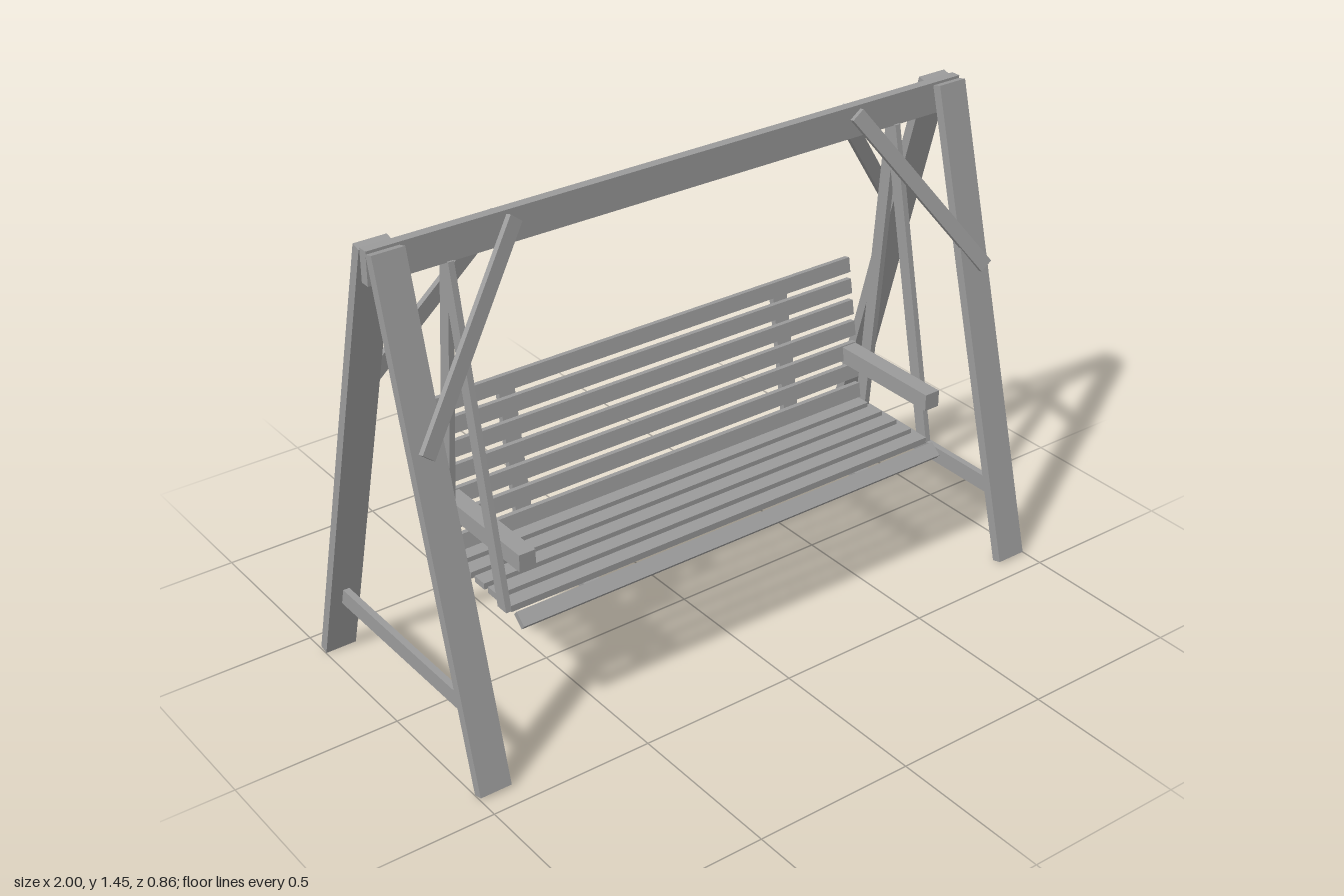
import * as THREE from 'three';

const wood = new THREE.MeshStandardMaterial({ color: 0x9a9a9a, flatShading: true });

function box(parent, name, size, pos, tiltX = 0) {
  const mesh = new THREE.Mesh(new THREE.BoxGeometry(...size), wood);
  mesh.name = name;
  mesh.position.set(...pos);
  mesh.rotation.x = tiltX;
  parent.add(mesh);
  return mesh;
}

// Square-cut board running from a to b; its broad face is turned towards `facing`
function board(parent, name, a, b, width, thick, facing) {
  const p = new THREE.Vector3(...a), q = new THREE.Vector3(...b);
  const along = q.clone().sub(p);
  const mesh = box(parent, name, [width, along.length(), thick], [0, 0, 0]);
  along.normalize();
  const side = along.clone().cross(new THREE.Vector3(...facing)).normalize();
  const normal = side.clone().cross(along);
  mesh.quaternion.setFromRotationMatrix(new THREE.Matrix4().makeBasis(side, along, normal));
  mesh.position.copy(p).add(q).multiplyScalar(0.5);
}

// Hanger sheared in z, so that both ends stay level
function hanger(parent, x, zTop, zBottom) {
  const top = 1.358, bottom = 0.391;
  const geo = new THREE.BoxGeometry(0.018, top - bottom, 0.042);
  const shear = new THREE.Matrix4();
  shear.elements[6] = (zTop - zBottom) / (top - bottom);
  geo.applyMatrix4(shear);
  const mesh = new THREE.Mesh(geo, wood);
  mesh.name = 'hanger';
  mesh.position.set(x, (top + bottom) / 2, (zTop + zBottom) / 2);
  parent.add(mesh);
}

export function createModel() {
  const model = new THREE.Group();
  model.name = 'gardenSwing';

  // A-frame stand
  const stand = new THREE.Group();
  stand.name = 'stand';
  model.add(stand);
  box(stand, 'topBeam', [1.995, 0.097, 0.03], [0, 1.404, 0]);
  for (const x of [-0.95, 0.943]) {
    for (const s of [1, -1]) {
      board(stand, 'leg', [x, 0.004, s * 0.418], [x, 1.449, s * 0.031], 0.098, 0.03, [0, 0, s]);
    }
    box(stand, 'crossbar', [0.02, 0.052, 0.71], [x, 0.213, 0]);
  }

  // Diagonal braces: foot x, foot y, top x, side of the beam
  const braces = [
    [-0.965, 0.935, -0.565, 1], [0.972, 0.912, 0.595, 1],
    [0.978, 0.935, 0.578, -1], [-0.96, 0.912, -0.583, -1],
  ];
  for (const [footX, footY, topX, s] of braces) {
    board(stand, 'brace', [footX, footY, 0.2 * s], [topX, 1.43, 0.025 * s], 0.045, 0.017, [0, 0, s]);
  }

  // Hanging bench
  const bench = new THREE.Group();
  bench.name = 'bench';
  model.add(bench);
  const length = 1.5;
  for (let i = 0; i < 5; i++) {
    box(bench, 'seatSlat', [length, 0.02, 0.048], [0, 0.397, -0.07 + i * 0.0675]);
  }
  box(bench, 'frontSlat', [length, 0.02, 0.046], [0, 0.381, 0.262], 0.7);

  // Backrest leaning away from the seat
  const lean = -0.176;
  for (let i = 0; i < 7; i++) {
    const y = 0.435 + i * 0.0675;
    box(bench, 'backSlat', [length, 0.047, 0.02], [0, y, -0.094 + (y - 0.435) * lean], lean);
  }
  for (const s of [-1, 1]) {
    box(bench, 'seatBearer', [0.052, 0.02, 0.33], [s * 0.489, 0.377, 0.081]);
    box(bench, 'backPost', [0.052, 0.41, 0.02], [s * 0.489, 0.629, -0.149], lean);
    box(bench, 'armrest', [0.052, 0.053, 0.4], [s * 0.721, 0.565, 0.07]);
    hanger(bench, s * 0.758, 0, 0.204);
    hanger(bench, s * 0.758, 0, -0.08);
  }
  return model;
}
